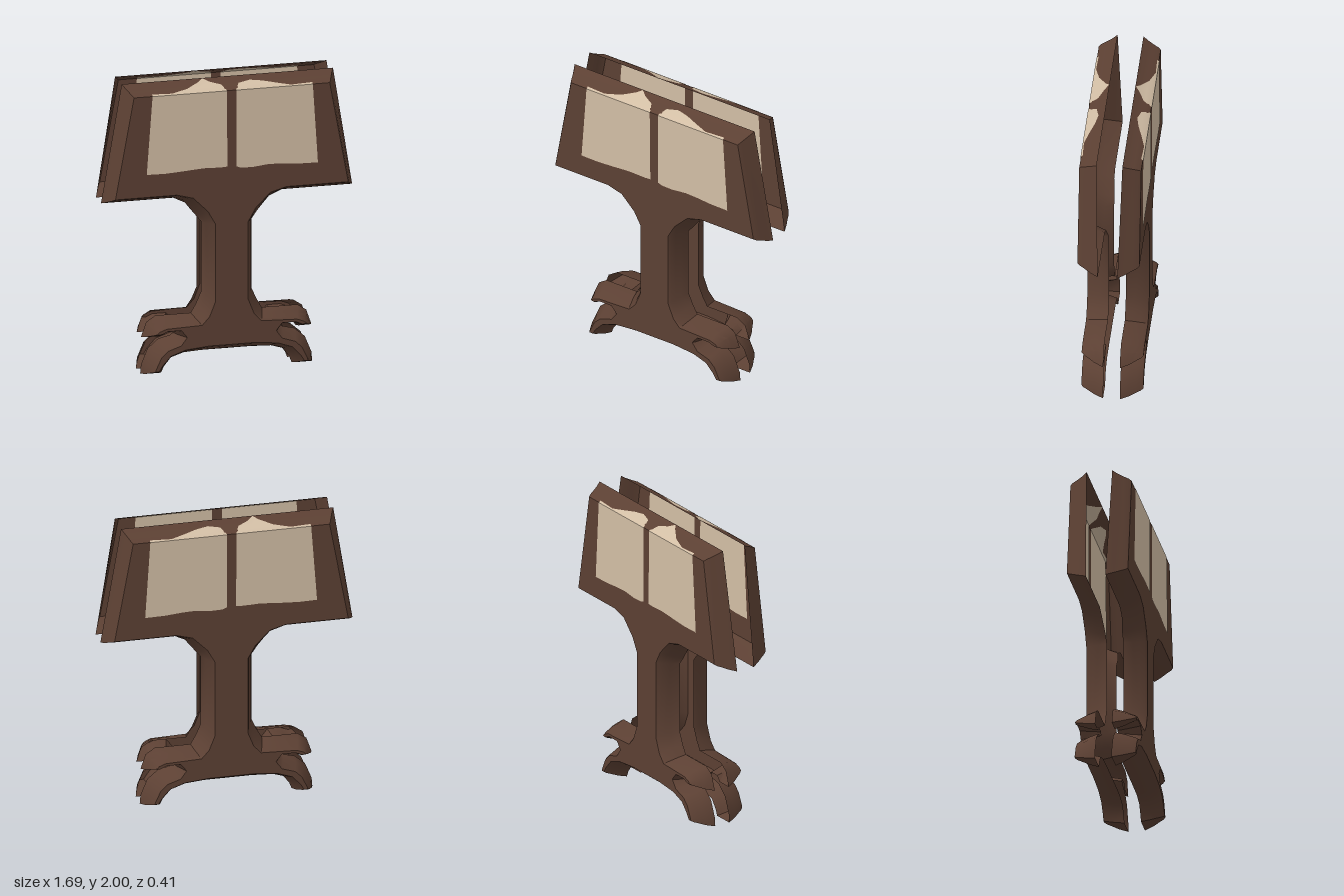
import * as THREE from 'three';
import { toCreasedNormals } from 'three/addons/utils/BufferGeometryUtils.js';

const wood = new THREE.MeshStandardMaterial({ color: 0x5c4033, side: THREE.DoubleSide });
wood.name = 'dark brown wood';
const paper = new THREE.MeshStandardMaterial({ color: 0xd2bea5, side: THREE.DoubleSide });
paper.name = 'cream paper';

const FACE_Z = 0.203;
const SHIFT = -0.005;

// Right half of the stand, top to bottom: [rim x, rim y, flat face x, flat face y]
const HALF = [
  // slanted board
  [0.713, 2.0, 0.66, 1.938], [0.847, 1.19, 0.785, 1.25], [0.36, 1.19, 0.37, 1.25],
  // flare and column
  [0.28, 1.15, 0.26, 1.22], [0.21, 1.06, 0.16, 1.12], [0.17, 1.01, 0.11, 1.03],
  [0.17, 0.53, 0.11, 0.5], [0.205, 0.45, 0.15, 0.4], [0.24, 0.39, 0.2, 0.345],
  // upper claw
  [0.48, 0.39, 0.44, 0.337], [0.54, 0.35, 0.485, 0.32], [0.575, 0.25, 0.5, 0.305],
  [0.47, 0.25, 0.48, 0.3], [0.44, 0.285, 0.43, 0.32], [0.37, 0.285, 0.34, 0.32],
  // slot end and lower foot
  [0.36, 0.265, 0.3, 0.27], [0.38, 0.25, 0.34, 0.215], [0.46, 0.23, 0.43, 0.185],
  [0.53, 0.17, 0.475, 0.14], [0.575, 0.06, 0.51, 0.065], [0.58, 0, 0.515, 0.05],
  [0.44, 0, 0.49, 0.05], [0.425, 0.04, 0.465, 0.09], [0.38, 0.1, 0.41, 0.15],
  [0.3, 0.125, 0.31, 0.185], [0.16, 0.13, 0.15, 0.2],
];
const OUTLINE = [
  ...[...HALF].reverse(),
  ...HALF.map(([a, b, c, d]) => [-a, b, -c, d]),
];

// Rounded edge: [share of the way from rim to face, z]
const PROFILE = [[0, 0.085], [0.3, 0.115], [0.6, 0.155], [0.82, 0.187], [1, FACE_Z]];
const rimZ = (y) => (y > 1.9 ? 0.085 : y > 1.1 ? 0.065 : 0.055);

function surface(points, faces, side, crease) {
  const geo = new THREE.BufferGeometry();
  const pos = points.flatMap(([x, y, z]) => [x + SHIFT, y, z * side]);
  geo.setAttribute('position', new THREE.Float32BufferAttribute(pos, 3));
  geo.setIndex(faces.flatMap(([a, b, c]) => (side > 0 ? [a, b, c] : [a, c, b])));
  return toCreasedNormals(geo, crease);
}

// Open half shell: rounded wall rings closed by the flat face
function shellGeometry(side) {
  const n = OUTLINE.length;
  const points = [];
  const faces = [];
  PROFILE.forEach(([t, z], k) => {
    for (const [ox, oy, ix, iy] of OUTLINE) {
      points.push([ox + (ix - ox) * t, oy + (iy - oy) * t, k === 0 ? rimZ(oy) : z]);
    }
  });
  for (let k = 0; k < PROFILE.length - 1; k++) {
    for (let i = 0; i < n; i++) {
      const a = k * n + i;
      const b = k * n + ((i + 1) % n);
      faces.push([a, b, b + n], [a, b + n, a + n]);
    }
  }
  const contour = OUTLINE.map((p) => new THREE.Vector2(p[2], p[3]));
  const start = (PROFILE.length - 1) * n;
  for (const f of THREE.ShapeUtils.triangulateShape(contour, [])) {
    faces.push(f.map((i) => i + start));
  }
  return surface(points, faces, side, 0.7);
}

// Page columns: [bottom x, bottom y, top x, top y]
const PAGES = {
  rightPage: [
    [-0.575, 1.405, -0.535, 1.948], [-0.45, 1.403, -0.4, 1.945], [-0.33, 1.41, -0.29, 1.96],
    [-0.24, 1.417, -0.2, 1.985], [-0.18, 1.42, -0.17, 2], [-0.13, 1.418, -0.13, 1.982],
    [-0.07, 1.417, -0.06, 1.967], [-0.03, 1.42, -0.035, 1.942],
  ],
  leftPage: [
    [0.03, 1.417, 0.03, 1.942], [0.06, 1.405, 0.06, 1.968], [0.14, 1.403, 0.14, 1.977],
    [0.25, 1.415, 0.22, 1.97], [0.33, 1.412, 0.31, 1.957], [0.45, 1.402, 0.4, 1.944],
    [0.58, 1.4, 0.545, 1.948],
  ],
};

// Thin page layer that follows the flat face and bends over the rounded top edge
function pageGeometry(columns, side, lift) {
  const knots = [...PROFILE].reverse().map(([t, z]) => [2 - 0.062 * t, z]);
  const heightAt = (y) => {
    for (let i = 0; i < knots.length - 1; i++) {
      const [y0, z0] = knots[i];
      const [y1, z1] = knots[i + 1];
      if (y <= y1) return z0 + ((z1 - z0) * Math.max(0, y - y0)) / (y1 - y0);
    }
    return knots[knots.length - 1][1];
  };
  const rows = knots.length + 1;
  const points = [];
  const faces = [];
  columns.forEach(([bx, by, tx, ty], c) => {
    for (let r = 0; r < rows; r++) {
      const y = r === 0 ? by : Math.min(ty, knots[r - 1][0]);
      points.push([bx + ((tx - bx) * (y - by)) / (ty - by), y, heightAt(y) + lift]);
      if (c > 0 && r > 0) {
        const d = c * rows + r;
        faces.push([d - rows - 1, d - 1, d], [d - rows - 1, d, d - rows]);
      }
    }
  });
  return surface(points, faces, side, 0.7);
}

export function createModel() {
  const model = new THREE.Group();
  model.name = 'bookStand';
  for (const [label, side] of [['front', 1], ['back', -1]]) {
    const half = new THREE.Group();
    half.name = `${label}Half`;
    const shell = new THREE.Mesh(shellGeometry(side), wood);
    shell.name = `${label}StandShell`;
    half.add(shell);
    // Pages show on both the outside and the inside of the shell
    for (const [name, columns] of Object.entries(PAGES)) {
      for (const [layer, lift] of [['Outer', 0.003], ['Inner', -0.003]]) {
        const page = new THREE.Mesh(pageGeometry(columns, side, lift), paper);
        page.name = `${label}${layer}${name[0].toUpperCase()}${name.slice(1)}`;
        half.add(page);
      }
    }
    model.add(half);
  }
  return model;
}
